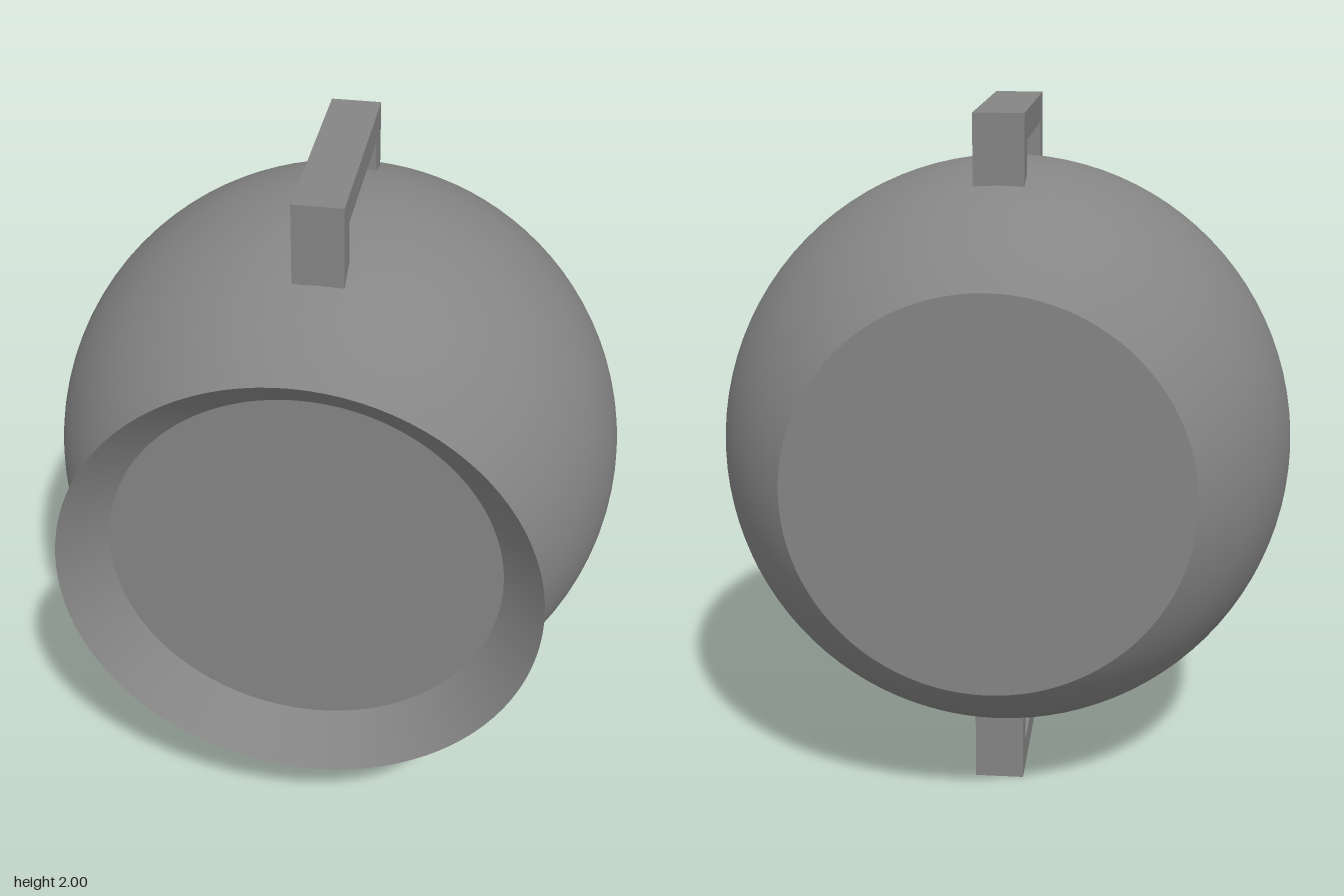
import * as THREE from 'three';

const R = 0.848, HALF = 0.63, CZ = -0.062, CY = 1;

export function createModel() {
  const model = new THREE.Group();
  const grey = new THREE.MeshStandardMaterial({ color: 0x858585 });
  const thin = new THREE.MeshStandardMaterial({ color: 0x858585, side: THREE.DoubleSide });

  const add = (name, geometry, material = grey) => {
    const mesh = new THREE.Mesh(geometry, material);
    mesh.name = name;
    model.add(mesh);
    return mesh;
  };
  // Turned part with its axis along z; points are (radius, z)
  const turned = (name, points, material) =>
    add(name, new THREE.LatheGeometry(points, 96).rotateX(Math.PI / 2), material).position.set(0, CY, 0);

  // Round body: a sphere cut flat at front and back
  const a = Math.asin(HALF / R);
  const arc = Array.from({ length: 41 }, (_, i) => {
    const t = -a + (2 * a * i) / 40;
    return new THREE.Vector2(R * Math.cos(t), CZ + R * Math.sin(t));
  });
  turned('body', arc);
  const cutRadius = R * Math.cos(a);

  // Flat front face
  add('frontFace', new THREE.CircleGeometry(cutRadius, 96)).position.set(0, CY, CZ + HALF);

  // Thin back plate, a touch wider than the cut
  add('backPlate', new THREE.CylinderGeometry(cutRadius + 0.003, cutRadius + 0.003, 0.008, 96).rotateX(Math.PI / 2))
    .position.set(0, CY, CZ - HALF + 0.004);

  // Open flared collar around the front face
  turned('flaredCollar', [new THREE.Vector2(cutRadius - 0.004, CZ + HALF), new THREE.Vector2(0.685, 0.692)], thin);

  // Square bracket handles at top and bottom, legs reaching into the body
  const outline = new THREE.Shape([
    [-0.31, 1.76], [-0.31, 2], [0.34, 2], [0.34, 1.76],
    [0.26, 1.76], [0.26, 1.917], [-0.23, 1.917], [-0.23, 1.76],
  ].map(([x, y]) => new THREE.Vector2(x, y - CY)));
  const bracket = new THREE.ExtrudeGeometry(outline, { depth: 0.144, bevelEnabled: false })
    .translate(0, 0, -0.072).rotateY(Math.PI / 2);
  add('topHandle', bracket).position.y = CY;
  // Bottom handle: same bracket turned about the z axis
  const bottom = add('bottomHandle', bracket);
  bottom.position.y = CY;
  bottom.rotation.z = Math.PI;

  return model;
}
